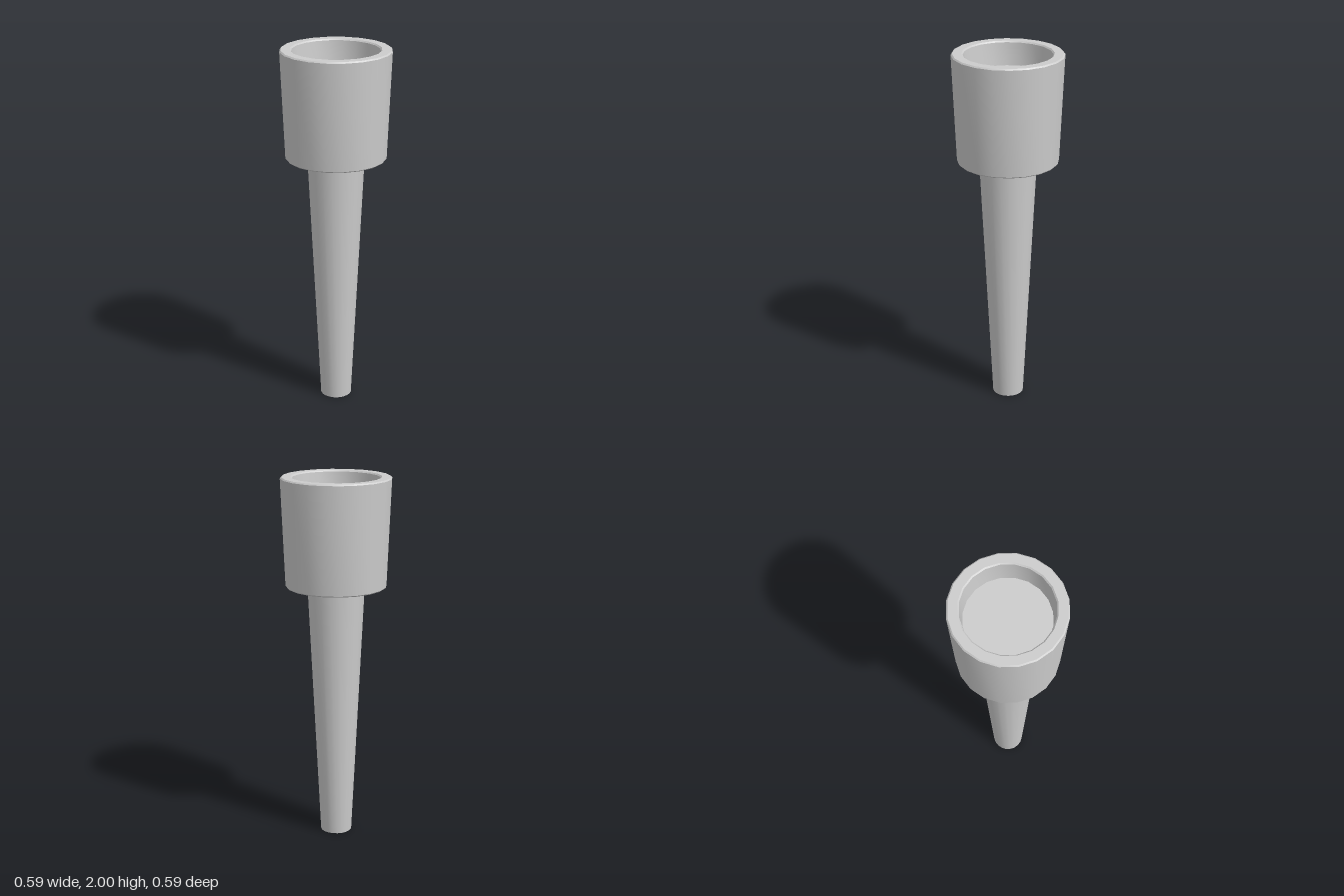
import * as THREE from 'three';
import { toCreasedNormals } from 'three/addons/utils/BufferGeometryUtils.js';

const SIDES = 20;
const material = new THREE.MeshStandardMaterial({ color: 0xcccccc });

// Turns a [radius, height] profile, listed from the bottom, around the y axis
function turned(name, profile) {
  const points = profile.map(([r, y]) => new THREE.Vector2(r, y));
  const geometry = toCreasedNormals(new THREE.LatheGeometry(points, SIDES), Math.PI / 6);
  const mesh = new THREE.Mesh(geometry, material);
  mesh.name = name;
  return mesh;
}

export function createModel() {
  const model = new THREE.Group();
  model.name = 'taperedHolder';

  // Slender tapered stem, ending inside the cup's underside
  model.add(turned('stem', [[0, 0], [0.086, 0], [0.155, 1.412]]));

  // Flared cup with bevelled rims and a shallow recess in the top
  model.add(turned('cup', [
    [0, 1.41], [0.267, 1.41], [0.273, 1.416],
    [0.297, 1.993], [0.29, 2],
    [0.242, 2], [0.235, 1.993],
    [0.222, 1.87], [0, 1.87],
  ]));

  return model;
}
